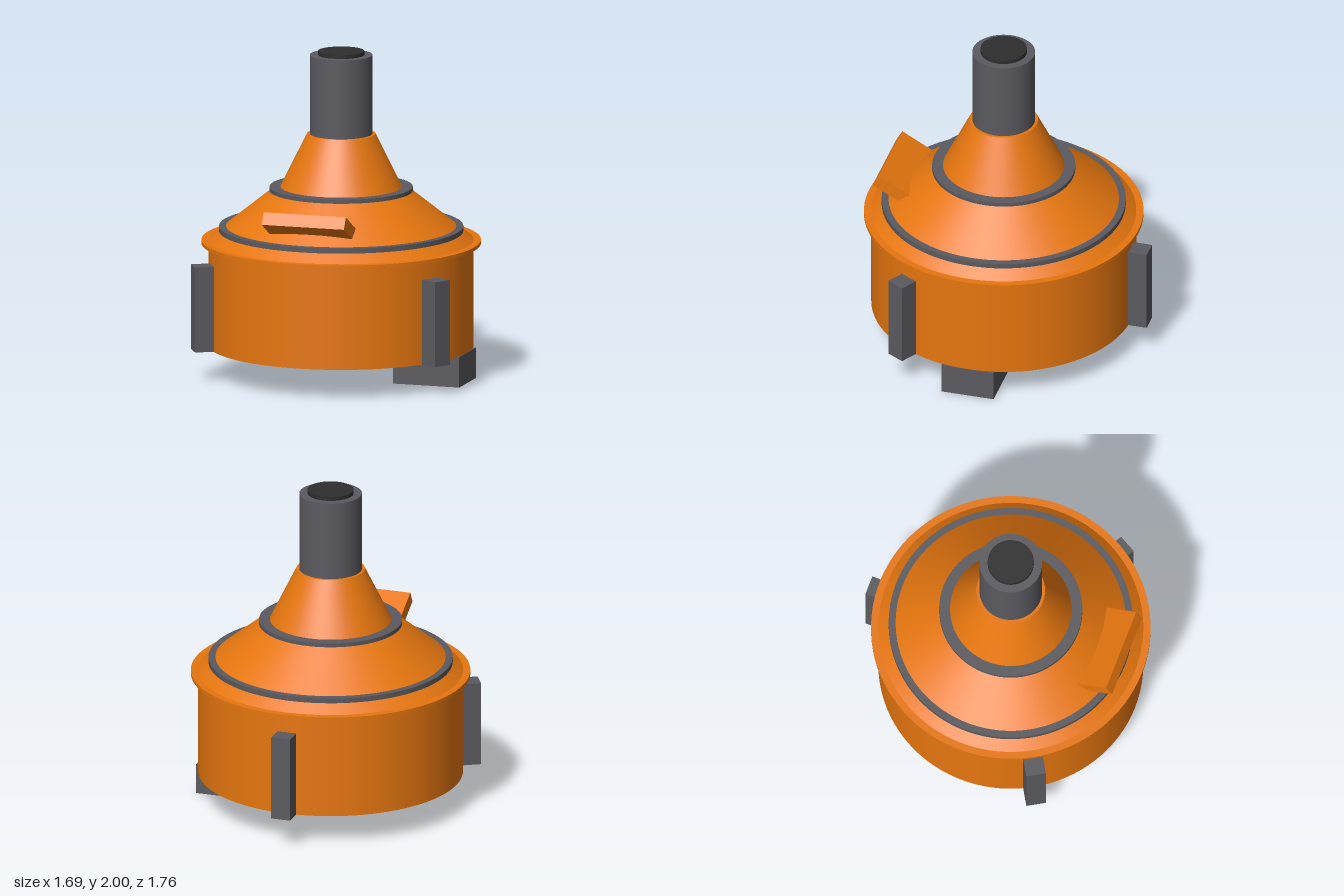
import * as THREE from 'three';

const paint = (name, color) => {
  const m = new THREE.MeshStandardMaterial({ color });
  m.name = name;
  return m;
};

export function createModel() {
  const orange = paint('orange', 0xe6760f);
  const grey = paint('grey', 0x5a5a60);
  const black = paint('black', 0x2e2e2e);

  const model = new THREE.Group();
  model.name = 'hopper';

  // everything turns around a vertical axis set slightly forward
  const drum = new THREE.Group();
  drum.name = 'drumAssembly';
  drum.position.z = 0.036;
  model.add(drum);

  const round = (name, material, rBottom, rTop, y0, y1) => {
    const mesh = new THREE.Mesh(new THREE.CylinderGeometry(rTop, rBottom, y1 - y0, 96), material);
    mesh.name = name;
    mesh.position.y = (y0 + y1) / 2;
    drum.add(mesh);
  };
  const box = (name, material, w, h, d, x, y, z, parent = drum) => {
    const mesh = new THREE.Mesh(new THREE.BoxGeometry(w, h, d), material);
    mesh.name = name;
    mesh.position.set(x, y, z);
    parent.add(mesh);
    return mesh;
  };

  // stacked round body
  round('body', orange, 0.803, 0.803, 0.185, 0.82);
  round('flange', orange, 0.847, 0.847, 0.815, 0.837);
  round('lowerCone', orange, 0.803, 0.405, 0.837, 1.155);
  round('lowerBand', grey, 0.74, 0.74, 0.89, 0.921);
  round('upperBand', grey, 0.434, 0.434, 1.139, 1.164);
  round('upperCone', orange, 0.37, 0.208, 1.16, 1.49);
  round('pipe', grey, 0.19, 0.19, 1.48, 1.976);
  round('pipeCap', black, 0.14, 0.14, 1.97, 2.0);

  // three radial brackets, one at the back
  for (let i = 0; i < 3; i++) {
    const arm = new THREE.Group();
    arm.name = 'bracket' + (i + 1);
    arm.rotation.y = Math.PI + (i * Math.PI * 2) / 3;
    box('bracketBlock', grey, 0.12, 0.523, 0.16, 0, 0.4475, 0.837, arm);
    drum.add(arm);
  }

  // outlet block under the body
  box('outlet', grey, 0.423, 0.187, 0.328, 0.594, 0.0935, 0);

  // tilted hatch on the front of the lower cone
  const hatch = box('hatch', orange, 0.524, 0.08, 0.3, 0, 1.011, 0.601);
  hatch.rotation.x = -0.5;

  return model;
}
